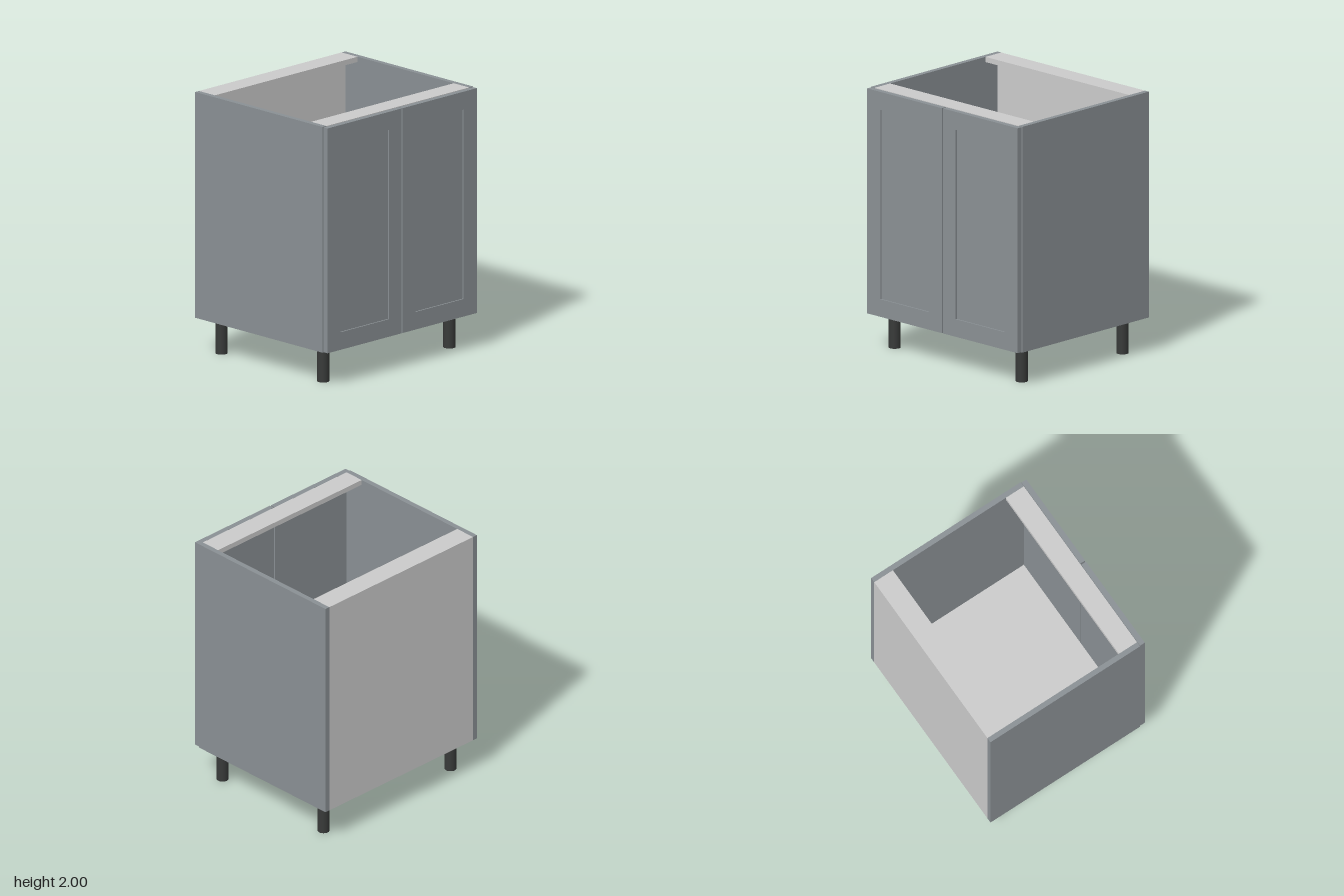
import * as THREE from 'three';

const grey = new THREE.MeshStandardMaterial({ color: 0xcccccc });
const slate = new THREE.MeshStandardMaterial({ color: 0x8a9094 });
const black = new THREE.MeshStandardMaterial({ color: 0x383a39 });

// Box given by its minimum and maximum corners
function panel(name, min, max, material) {
  const size = max.map((v, i) => v - min[i]);
  const mesh = new THREE.Mesh(new THREE.BoxGeometry(...size), material);
  mesh.position.set(...max.map((v, i) => (v + min[i]) / 2));
  mesh.name = name;
  return mesh;
}

function rectangle(PathType, x0, y0, x1, y1) {
  return new PathType([[x0, y0], [x1, y0], [x1, y1], [x0, y1]].map(p => new THREE.Vector2(...p))).closePath();
}

// Door: a frame around a slightly recessed centre panel
function door(name, side) {
  const group = new THREE.Group();
  group.name = name;
  const [in0, in1, out0, out1] = [0.005, 0.137, 0.777, 0.64].map(v => v * side);
  const low = Math.min, high = Math.max;
  const shape = rectangle(THREE.Shape, low(in0, out0), 0.27, high(in0, out0), 1.997);
  shape.holes.push(rectangle(THREE.Path, low(in1, out1), 0.405, high(in1, out1), 1.86));
  const frame = new THREE.Mesh(new THREE.ExtrudeGeometry(shape, { depth: 0.042, bevelEnabled: false }), slate);
  frame.position.z = 0.65;
  frame.name = 'doorFrame';
  group.add(frame, panel('doorPanel', [low(in1, out1), 0.405, 0.65], [high(in1, out1), 1.86, 0.68], slate));
  return group;
}

export function createModel() {
  const model = new THREE.Group();
  model.name = 'baseCabinet';
  const back = -0.692, front = 0.646, bottom = 0.266, inner = 0.742;

  // Carcass
  model.add(
    panel('leftSide', [inner, bottom, back], [0.782, 2, front], slate),
    panel('rightSide', [-0.782, bottom, back], [-inner, 2, front], slate),
    panel('bottomPanel', [-inner, bottom, back], [inner, bottom + 0.04, front], grey),
    panel('backPanel', [-inner, bottom + 0.04, back], [inner, 1.96, back + 0.04], grey),
    panel('backRail', [-inner, 1.96, back], [inner, 2, -0.525], grey),
    panel('frontRail', [-inner, 1.96, 0.485], [inner, 2, front], grey),
  );

  // Doors
  model.add(door('leftDoor', 1), door('rightDoor', -1));

  // Legs
  const legGeometry = new THREE.CylinderGeometry(0.045, 0.045, bottom, 32);
  for (const x of [-0.656, 0.656]) {
    for (const z of [-0.542, 0.525]) {
      const leg = new THREE.Mesh(legGeometry, black);
      leg.position.set(x, bottom / 2, z);
      leg.name = z > 0 ? 'frontLeg' : 'backLeg';
      model.add(leg);
    }
  }
  return model;
}
